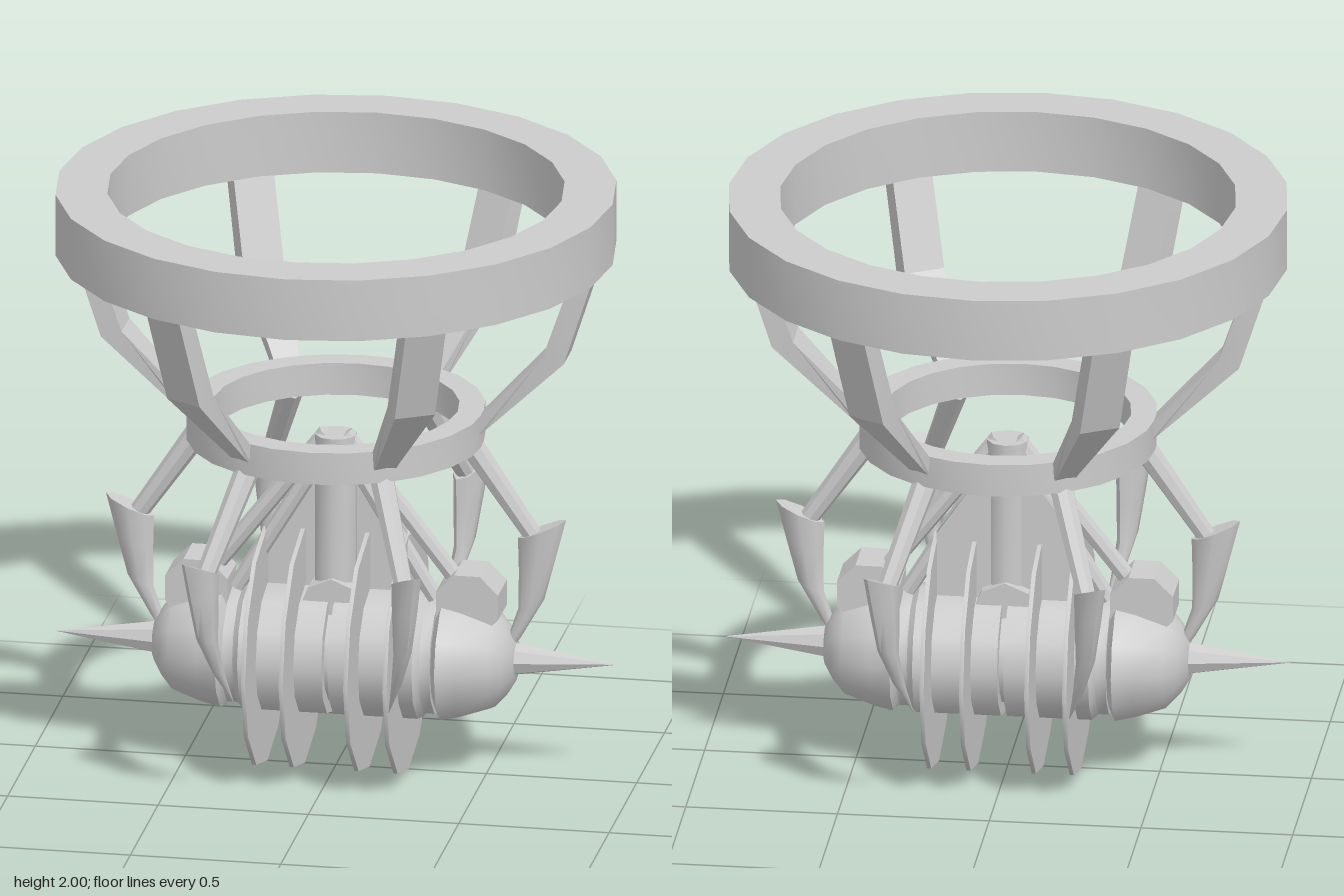
import * as THREE from 'three';
import { toCreasedNormals } from 'three/addons/utils/BufferGeometryUtils.js';

const material = new THREE.MeshStandardMaterial({ color: 0xcccccc });
const AXIS_Y = 0.4;

function add(parent, name, geometry, crease = 0.7) {
  const mesh = new THREE.Mesh(toCreasedNormals(geometry, crease), material);
  mesh.name = name;
  parent.add(mesh);
  return mesh;
}

const points = (list) => list.map(([a, b]) => new THREE.Vector2(a, b));

function ring(inner, outer, y0, y1) {
  return new THREE.LatheGeometry(points([[inner, y0], [outer, y0], [outer, y1], [inner, y1], [inner, y0]]), 24);
}

// Tapered rod between two points
function rod(from, to, r0, r1, sides = 8) {
  const a = new THREE.Vector3(...from), b = new THREE.Vector3(...to);
  const dir = b.clone().sub(a);
  const g = new THREE.CylinderGeometry(r1, r0, dir.length(), sides);
  g.applyQuaternion(new THREE.Quaternion().setFromUnitVectors(new THREE.Vector3(0, 1, 0), dir.normalize()));
  const mid = a.add(b).multiplyScalar(0.5);
  return g.translate(mid.x, mid.y, mid.z);
}

// Bent flat strut, narrowing below its knee
function strutGeometry() {
  const outline = [[0.81, 1.8], [0.70, 1.48], [0.43, 1.19], [0.46, 1.16], [0.50, 1.2], [0.77, 1.46], [0.88, 1.8]];
  const g = new THREE.ExtrudeGeometry(new THREE.Shape(points(outline)), { depth: 0.14, bevelEnabled: false });
  g.translate(0, 0, -0.07);
  const p = g.attributes.position;
  for (let i = 0; i < p.count; i++) if (p.getY(i) < 1.4) p.setZ(i, p.getZ(i) * 0.55);
  return g;
}

// Curved claw: a cylinder narrowed to a point along a bent centre line
function clawGeometry() {
  const g = new THREE.CylinderGeometry(1, 1, 1, 8, 4);
  const centre = [[0.685, 0.86], [0.67, 0.74], [0.65, 0.6], [0.59, 0.47], [0.515, 0.35]];
  const half = [[0.08, 0.045], [0.062, 0.04], [0.043, 0.03], [0.024, 0.018], [0.001, 0.001]];
  const p = g.attributes.position;
  for (let i = 0; i < p.count; i++) {
    const k = Math.round((0.5 - p.getY(i)) * 4);
    const u = p.getX(i), v = p.getZ(i);
    const tilt = 0.035 * (1 - k / 4);
    p.setXYZ(i, centre[k][0] + u * half[k][0], centre[k][1] + u * tilt, v * half[k][1]);
  }
  return g;
}

export function createModel() {
  const model = new THREE.Group();
  model.name = 'hangingClawMachine';

  // Upper and lower rings
  add(model, 'upperRing', ring(0.75, 0.92, 1.79, 2));
  add(model, 'lowerRing', ring(0.405, 0.49, 1.14, 1.25));

  // Six struts and claw arms around the rings
  for (let i = 0; i < 6; i++) {
    const arm = new THREE.Group();
    arm.name = 'clawArm';
    arm.rotation.y = (i * Math.PI) / 3;
    add(arm, 'strut', strutGeometry(), 0.3);
    add(arm, 'upperArm', rod([0.435, 1.16, 0], [0.66, 0.83, 0], 0.042, 0.032));
    add(arm, 'claw', clawGeometry(), 0.9);
    model.add(arm);
  }

  // Segmented body lying along x
  const half = [[0.17, 0.01], [0.215, 0.01], [0.215, 0.29], [0.195, 0.31], [0.195, 0.345], [0.175, 0.345],
    [0.215, 0.365], [0.2, 0.43], [0.165, 0.53], [0.12, 0.57], [0.07, 0.6], [0, 0.6]];
  const profile = [...half.map(([r, x]) => [r, -x]).reverse(), ...half];
  const bodyGeometry = new THREE.LatheGeometry(points(profile), 12);
  bodyGeometry.rotateZ(-Math.PI / 2).translate(0, AXIS_Y, 0);
  add(model, 'body', bodyGeometry);

  // Thin discs
  for (const x of [-0.235, -0.11, 0.105, 0.235]) {
    const disc = new THREE.CylinderGeometry(0.405, 0.405, 0.014, 12);
    disc.rotateZ(Math.PI / 2).translate(x, 0.405, 0);
    add(model, 'disc', disc);
  }

  // Central column and its collar
  add(model, 'column', new THREE.CylinderGeometry(0.07, 0.07, 0.56, 10).translate(0, 0.87, 0));
  const collar = new THREE.CylinderGeometry(0.11, 0.11, 0.17, 8);
  add(model, 'collar', collar.rotateX(Math.PI / 2).translate(0, 0.56, 0));

  // Spikes, braces, gussets and brackets on both sides
  for (const s of [-1, 1]) {
    add(model, 'spike', rod([s * 0.58, 0.405, 0], [s * 0.93, 0.405, 0], 0.058, 0.001));
    add(model, 'brace', rod([s * 0.03, 1.15, 0], [s * 0.44, 0.62, 0], 0.03, 0.03));
    add(model, 'innerBrace', rod([s * 0.03, 1.1, 0], [s * 0.33, 0.6, 0], 0.028, 0.028));
    const plate = new THREE.Shape(points([[s * 0.05, 1.08], [s * 0.05, 0.6], [s * 0.23, 0.6], [s * 0.23, 0.82]]));
    const gusset = new THREE.ExtrudeGeometry(plate, { depth: 0.03, bevelEnabled: false });
    add(model, 'gusset', gusset.translate(0, 0, -0.045));
    const bracket = new THREE.CylinderGeometry(0.112, 0.112, 0.16, 8);
    bracket.rotateX(Math.PI / 2).rotateZ(Math.PI / 8).translate(s * 0.45, 0.605, 0);
    add(model, 'bracket', bracket);
  }
  return model;
}
